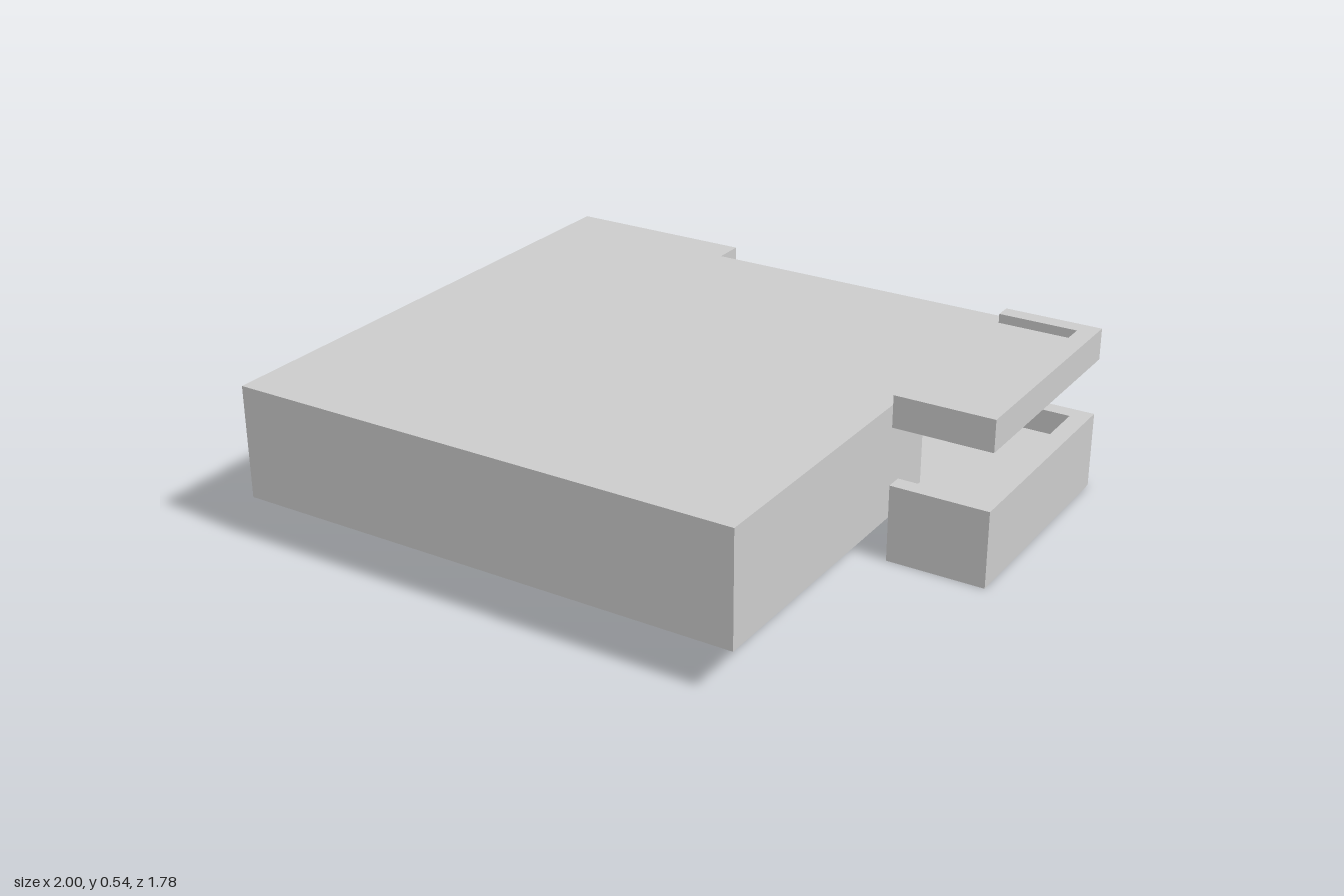
import * as THREE from 'three';

const FLOOR = 0.158, FLOOR_TOP = 0.172, BASE = 0.145, CEILING = 0.46, ROOF = 0.51;
const T = 0.06, t = 0.045; // outer and inner wall thickness

export function createModel() {
  const model = new THREE.Group();
  const material = new THREE.MeshStandardMaterial({ color: 0xcccccc, flatShading: true });

  const add = (parent, name, geometry) => {
    const mesh = new THREE.Mesh(geometry, material);
    mesh.name = name;
    parent.add(mesh);
    return mesh;
  };
  const group = (name) => {
    const g = new THREE.Group();
    g.name = name;
    model.add(g);
    return g;
  };
  // Box from its plan rectangle and height range
  const block = (parent, name, x0, x1, z0, z1, y0 = BASE, y1 = CEILING) =>
    add(parent, name, new THREE.BoxGeometry(x1 - x0, y1 - y0, z1 - z0))
      .position.set((x0 + x1) / 2, (y0 + y1) / 2, (z0 + z1) / 2);
  // Plan outline [x, z] extruded upwards
  const slab = (parent, name, outline, y0, y1) => {
    const shape = new THREE.Shape(outline.map(([x, z]) => new THREE.Vector2(x, -z)));
    const geometry = new THREE.ExtrudeGeometry(shape, { depth: y1 - y0, bevelEnabled: false });
    geometry.rotateX(-Math.PI / 2).translate(0, y0, 0);
    add(parent, name, geometry);
  };

  // Plan of the apartment plus balcony; inset e keeps faces off the walls
  const plan = (e) => [
    [-1 + e, 0.89 - e], [0.68 - e, 0.89 - e], [0.68 - e, -0.03], [0.97, -0.03],
    [0.97, -0.76], [0.68 - e, -0.76], [0.68 - e, -0.79 + e],
    [-0.375 - e, -0.79 + e], [-0.375 - e, -0.89 + e], [-1 + e, -0.89 + e],
  ];
  slab(model, 'floor', plan(0.004), FLOOR, FLOOR_TOP);
  slab(model, 'roof', plan(0), CEILING, ROOF);

  // Outer walls, with gaps for the entrance and the balcony door
  const outer = group('outerWalls');
  [
    ['leftSideWall', -1, -1 + T, -0.89, 0.89],
    ['frontWall', -1 + T, 0.68 - T, 0.89 - T, 0.89],
    ['balconyWallFront', 0.68 - T, 0.68, -0.21, 0.89],
    ['balconyWallBack', 0.68 - T, 0.68, -0.79, -0.58],
    ['backWall', -0.375 - T, 0.68 - T, -0.79, -0.79 + T],
    ['entranceReturn', -0.375 - T, -0.375, -0.89, -0.79],
    ['entranceWallInner', -0.6, -0.375 - T, -0.89, -0.89 + T],
    ['entranceWallOuter', -1 + T, -0.775, -0.89, -0.89 + T],
  ].forEach(([name, ...r]) => block(outer, name, ...r));

  // Inner partitions, with door gaps
  const inner = group('partitions');
  [
    ['livingRoomWall', -0.3, 0.62, -0.04, 0.005],
    ['livingRoomStub', -0.3, -0.3 + t, 0.005, 0.13],
    ['corridorWallRight', -0.3, -0.3 + t, 0.3, 0.83],
    ['bedroomWall', -0.3 + t, 0.37, 0.6, 0.6 + t],
    ['bedroomStub', 0.5, 0.62, 0.6, 0.6 + t],
    ['corridorWallLeft', -0.465, -0.465 + t, 0.28, 0.6],
    ['bathroomWall', -0.94, -0.465 + t, 0.6, 0.6 + t],
    ['bathroomStub', -0.465, -0.465 + t, 0.78, 0.83],
    ['kitchenWall', -0.94, -0.465 + t, -0.04, 0.005],
    ['kitchenStub', -0.465, -0.465 + t, 0.005, 0.12],
  ].forEach(([name, ...r]) => block(inner, name, ...r));

  // U-shaped parapets: lower balcony and the rim of its canopy
  const parapet = [
    [0.68, -0.79], [0.68, -0.735], [0.94, -0.735], [0.94, -0.055],
    [0.68, -0.055], [0.68, 0], [1, 0], [1, -0.79],
  ];
  slab(model, 'balconyParapet', parapet, 0, 0.25);
  slab(model, 'canopyRim', parapet, 0.437, 0.54);

  return model;
}
